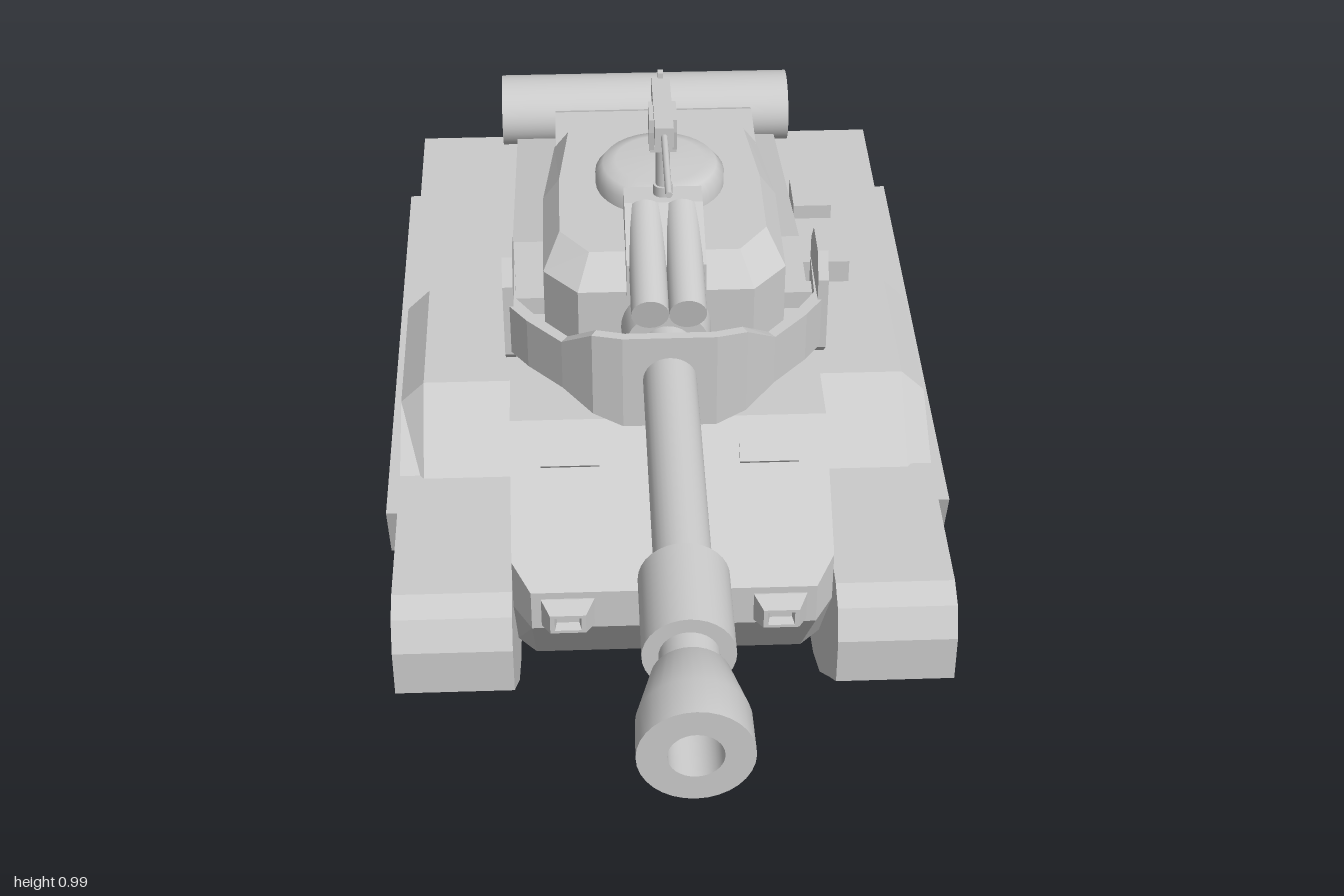
import * as THREE from 'three';

const smooth = new THREE.MeshStandardMaterial({ color: 0xcccccc });
const flat = new THREE.MeshStandardMaterial({ color: 0xcccccc, flatShading: true });

// Skin through matching rings of [x, y, z] points with flat end caps, always facing outward
function loft(rings) {
  const tris = [], n = rings[0].length, last = rings[rings.length - 1];
  for (let r = 0; r + 1 < rings.length; r++) {
    for (let i = 0; i < n; i++) {
      const j = (i + 1) % n, a = rings[r], b = rings[r + 1];
      tris.push([a[i], a[j], b[j]], [a[i], b[j], b[i]]);
    }
  }
  for (let i = 1; i + 1 < n; i++) {
    tris.push([rings[0][0], rings[0][i + 1], rings[0][i]], [last[0], last[i], last[i + 1]]);
  }
  let volume = 0;
  for (const [a, b, c] of tris) {
    volume += a[0] * (b[1] * c[2] - b[2] * c[1]) + a[1] * (b[2] * c[0] - b[0] * c[2]) + a[2] * (b[0] * c[1] - b[1] * c[0]);
  }
  const pos = tris.flatMap(([a, b, c]) => (volume < 0 ? [a, c, b] : [a, b, c]).flat());
  const geo = new THREE.BufferGeometry();
  geo.setAttribute('position', new THREE.Float32BufferAttribute(pos, 3));
  geo.computeVertexNormals();
  return geo;
}

// Side profile of [z, y] points extruded from x0 to x1
function sideExtrude(pts, x0, x1, hole) {
  const vec = (list) => list.map(([z, y]) => new THREE.Vector2(-z, y));
  const shape = new THREE.Shape(vec(pts));
  if (hole) shape.holes.push(new THREE.Path(vec(hole)));
  const lo = Math.min(x0, x1), depth = Math.abs(x1 - x0);
  return new THREE.ExtrudeGeometry(shape, { depth, bevelEnabled: false }).rotateY(Math.PI / 2).translate(lo, 0, 0);
}

const atX = (x, pts) => pts.map(([z, y]) => [x, y, z]);
const rect = (x0, x1, y0, y1, z) => [[x0, y0, z], [x1, y0, z], [x1, y1, z], [x0, y1, z]];

export function createModel() {
  const model = new THREE.Group();
  const add = (name, geo, mat = flat) => {
    const mesh = new THREE.Mesh(geo, mat);
    mesh.name = name;
    model.add(mesh);
    return mesh;
  };
  const box = (name, x0, x1, y0, y1, z0, z1) => add(name,
    new THREE.BoxGeometry(Math.abs(x1 - x0), y1 - y0, Math.abs(z1 - z0)).translate((x0 + x1) / 2, (y0 + y1) / 2, (z0 + z1) / 2));
  // Turned part along z from [radius, z] points
  const turned = (pts) => {
    const list = pts.map(([r, z]) => new THREE.Vector2(r, z));
    return new THREE.LatheGeometry(list, 32).rotateX(Math.PI / 2);
  };

  // Hull with chamfered nose and belly edges
  const hullMid = [[0.39, 0.33], [0.39, 0.4], [0.165, 0.553], [-0.33, 0.553], [-0.87, 0.435], [-0.87, 0.32], [-0.72, 0.105], [0.2, 0.105]];
  const hullEdge = [[0.35, 0.34], [0.35, 0.427], [0.165, 0.553], [-0.33, 0.553], [-0.87, 0.435], [-0.87, 0.32], [-0.73, 0.145], [0.21, 0.145]];
  add('hull', loft([atX(-0.243, hullEdge), atX(-0.215, hullMid), atX(0.215, hullMid), atX(0.243, hullEdge)]));

  // Engine hatch lying on the sloped rear deck: plate and raised frame
  const hatch = new THREE.Group();
  hatch.name = 'engineHatch';
  hatch.position.set(0, 0.489, -0.64);
  hatch.rotation.x = -Math.atan2(0.118, 0.54);
  const hatchShape = new THREE.Shape([[-0.155, -0.15], [0.155, -0.15], [0.155, 0.15], [-0.155, 0.15]].map((p) => new THREE.Vector2(...p)));
  hatchShape.holes.push(new THREE.Path([[-0.14, -0.13], [0.14, -0.13], [0.14, 0.13], [-0.14, 0.13]].map((p) => new THREE.Vector2(...p))));
  const frame = new THREE.Mesh(new THREE.ExtrudeGeometry(hatchShape, { depth: 0.02, bevelEnabled: false }).rotateX(-Math.PI / 2), flat);
  frame.name = 'hatchFrame';
  const plate = new THREE.Mesh(new THREE.BoxGeometry(0.27, 0.02, 0.25), flat);
  plate.name = 'hatchPlate';
  hatch.add(frame, plate);
  model.add(hatch);

  // Stowage roll across the tail
  add('stowageRoll', new THREE.CylinderGeometry(0.073, 0.073, 0.54, 32).rotateZ(Math.PI / 2).scale(1, 0.86, 1).translate(0, 0.463, -0.925), smooth);

  // Track units, mirrored
  const trackOutline = [[0.385, 0.4], [0.425, 0.385], [0.45, 0.34], [0.45, 0.26], [0.39, 0.21], [0.25, 0.09], [0.15, 0.04], [0.02, 0.02],
    [-0.52, 0.02], [-0.64, 0.045], [-0.76, 0.12], [-0.87, 0.215], [-0.975, 0.26], [-0.975, 0.355], [-0.93, 0.4]];
  const rimOpening = [[0.34, 0.385], [0.39, 0.35], [0.39, 0.28], [0.24, 0.125], [0.14, 0.065], [0.02, 0.05],
    [-0.51, 0.05], [-0.62, 0.075], [-0.74, 0.15], [-0.85, 0.25], [-0.93, 0.295], [-0.93, 0.345], [-0.89, 0.385]];
  const skirt = [[0.19, 0.396], [0.155, 0.29], [-0.08, 0.11], [-0.43, 0.11], [-0.73, 0.38], [-0.73, 0.396]];
  const sponson = (top) => [[0.125, 0.39], [-0.02, top], [-0.28, top], [-0.33, 0.39]];
  for (const s of [1, -1]) {
    add('track', sideExtrude(trackOutline, s * 0.243, s * 0.395));
    add('trackRim', sideExtrude(trackOutline, s * 0.395, s * 0.423, rimOpening));
    add('sideSkirt', sideExtrude(skirt, s * 0.39, s * 0.441));
    add('sponson', loft([atX(s * 0.235, sponson(0.492)), atX(s * 0.385, sponson(0.492)), atX(s * 0.423, sponson(0.455))]));
    for (const z of [-0.32, -0.51]) box('trackStud', s * 0.39, s * 0.42, 0, 0.03, z - 0.012, z + 0.012);

    // Front lamps with recessed lenses
    const lamp = [[0.12, 0.2, 0.338, 0.388, 0.38], [0.12, 0.2, 0.338, 0.388, 0.392], [0.133, 0.187, 0.346, 0.38, 0.42],
      [0.14, 0.18, 0.351, 0.375, 0.42], [0.143, 0.177, 0.354, 0.372, 0.405]];
    add('lamp', loft(lamp.map(([a, b, c, d, z]) => rect(s * a, s * b, c, d, z))));

    // Vision ports on the sloped front plate
    const port = add('visionPort', new THREE.BoxGeometry(0.09, 0.012, 0.03));
    port.position.set(s * 0.152, 0.519, 0.216);
    port.rotation.x = Math.atan2(0.153, 0.225);

    // Rear exhausts and roll brackets
    add('exhaust', new THREE.CylinderGeometry(0.028, 0.028, 0.09, 20).rotateX(Math.PI / 2).translate(s * 0.18, 0.345, -0.88), smooth);
    box('rollBracket', s * 0.1, s * 0.13, 0.38, 0.42, -0.92, -0.86);
  }

  // Stowage boxes on the left fender
  box('fenderBox', 0.243, 0.34, 0.39, 0.455, -0.535, -0.395);
  box('fenderBox', 0.26, 0.328, 0.39, 0.44, -0.695, -0.6);

  // Turret body from stacked outlines
  const turretRing = (y, w, front, rear) => {
    const half = [[w * 0.72, front], [w, front - 0.06], [w, -0.18], [w * 0.9, rear]];
    return [...half, ...half.map(([x, z]) => [-x, z]).reverse()].map(([x, z]) => [x, y, z]);
  };
  add('turret', loft([turretRing(0.545, 0.185, -0.05, -0.33), turretRing(0.59, 0.186, 0.088, -0.33),
    turretRing(0.735, 0.186, 0.088, -0.335), turretRing(0.77, 0.16, 0.03, -0.325)]));
  add('turretBustle', sideExtrude([[-0.3, 0.74], [-0.44, 0.74], [-0.465, 0.728], [-0.48, 0.7], [-0.48, 0.66], [-0.33, 0.56], [-0.3, 0.56]], -0.165, 0.165));
  add('cupola', new THREE.LatheGeometry([[0.102, 0.76], [0.102, 0.79], [0.09, 0.805], [0.07, 0.81], [0, 0.812]]
    .map((p) => new THREE.Vector2(...p)), 32).translate(0, 0, -0.17), smooth);

  // Wraparound gun shield: [x, z, bottom, top] for one half
  const shieldHalf = [[0.246, -0.04, 0.62, 0.705], [0.243, 0.07, 0.62, 0.705], [0.212, 0.115, 0.62, 0.705],
    [0.16, 0.172, 0.62, 0.705], [0.115, 0.215, 0.602, 0.746], [0.07, 0.226, 0.585, 0.746]];
  const shieldPath = [...shieldHalf, ...shieldHalf.map(([x, ...rest]) => [-x, ...rest]).reverse()];
  add('gunShield', loft(shieldPath.map(([x, z, lo, hi]) => {
    const xi = x * 0.94, zi = z > 0 ? z - 0.014 : z;
    return [[x, lo, z], [x, hi, z], [xi, hi, zi], [xi, lo, zi]];
  })));
  const cheek = [[0.05, 0.59], [0.077, 0.615], [0.077, 0.74], [0.05, 0.777], [-0.015, 0.777], [-0.045, 0.74], [-0.045, 0.615], [-0.02, 0.59]];
  for (const s of [1, -1]) {
    add('cheekPlate', sideExtrude(cheek, s * 0.232, s * 0.248));
    box('cheekMount', s * 0.17, s * 0.235, 0.65, 0.68, -0.01, 0.02);
  }

  // Main gun: barrel, sleeve and flared muzzle with open bore
  add('gunBarrel', turned([[0.04, 0.05], [0.04, 0.88]]), smooth);
  add('gunCollar', new THREE.CylinderGeometry(0.065, 0.07, 0.07, 32).rotateX(Math.PI / 2).translate(0, 0, 0.11), smooth);
  add('barrelSleeve', new THREE.CylinderGeometry(0.062, 0.062, 0.15, 32).rotateX(Math.PI / 2).translate(0, 0, 0.745), smooth);
  const muzzleParts = [[[0.035, 0.855], [0.052, 0.86], [0.074, 0.94], [0.075, 1]], [[0.075, 1], [0.036, 1]], [[0.036, 1], [0.036, 0.92]], [[0.036, 0.92], [0, 0.92]]];
  for (const part of muzzleParts) add('muzzle', turned(part), smooth);
  for (const mesh of model.children) {
    if (['gunBarrel', 'gunCollar', 'barrelSleeve', 'muzzle'].includes(mesh.name)) mesh.position.y = 0.67;
  }

  // Twin launcher tubes angled over the gun, on a mount
  for (const s of [1, -1]) {
    const tube = add('launcherTube', new THREE.CylinderGeometry(0.028, 0.028, 0.215, 24).rotateX(Math.PI / 2), smooth);
    tube.position.set(s * 0.028, 0.787, 0.088);
    tube.rotation.x = 0.2;
  }
  add('launcherMount', sideExtrude([[-0.06, 0.765], [-0.06, 0.828], [-0.015, 0.828], [0.1, 0.79], [0.1, 0.735], [0.02, 0.735]], -0.06, 0.06));

  // Roof machine gun on a post
  add('gunPostBase', new THREE.CylinderGeometry(0.015, 0.015, 0.02, 16).translate(0, 0.835, -0.043), smooth);
  add('gunPost', new THREE.CylinderGeometry(0.011, 0.011, 0.09, 16).translate(0, 0.87, -0.043), smooth);
  box('gunCradleBase', -0.02, 0.02, 0.908, 0.918, -0.06, -0.03);
  for (const s of [1, -1]) {
    add('gunCradleArm', sideExtrude([[-0.03, 0.912], [-0.06, 0.912], [-0.08, 0.945], [-0.08, 0.967], [-0.025, 0.967], [-0.025, 0.945]], s * 0.014, s * 0.021));
  }
  box('roofGunBody', -0.014, 0.014, 0.945, 0.978, -0.135, 0.018);
  box('roofGunSight', -0.004, 0.004, 0.975, 0.987, -0.142, -0.13);
  box('roofGunGrip', -0.008, 0.008, 0.955, 0.968, -0.152, -0.13);
  add('roofGunBarrel', new THREE.CylinderGeometry(0.005, 0.005, 0.165, 12).rotateX(Math.PI / 2).translate(0, 0.963, 0.095), smooth);

  return model;
}
